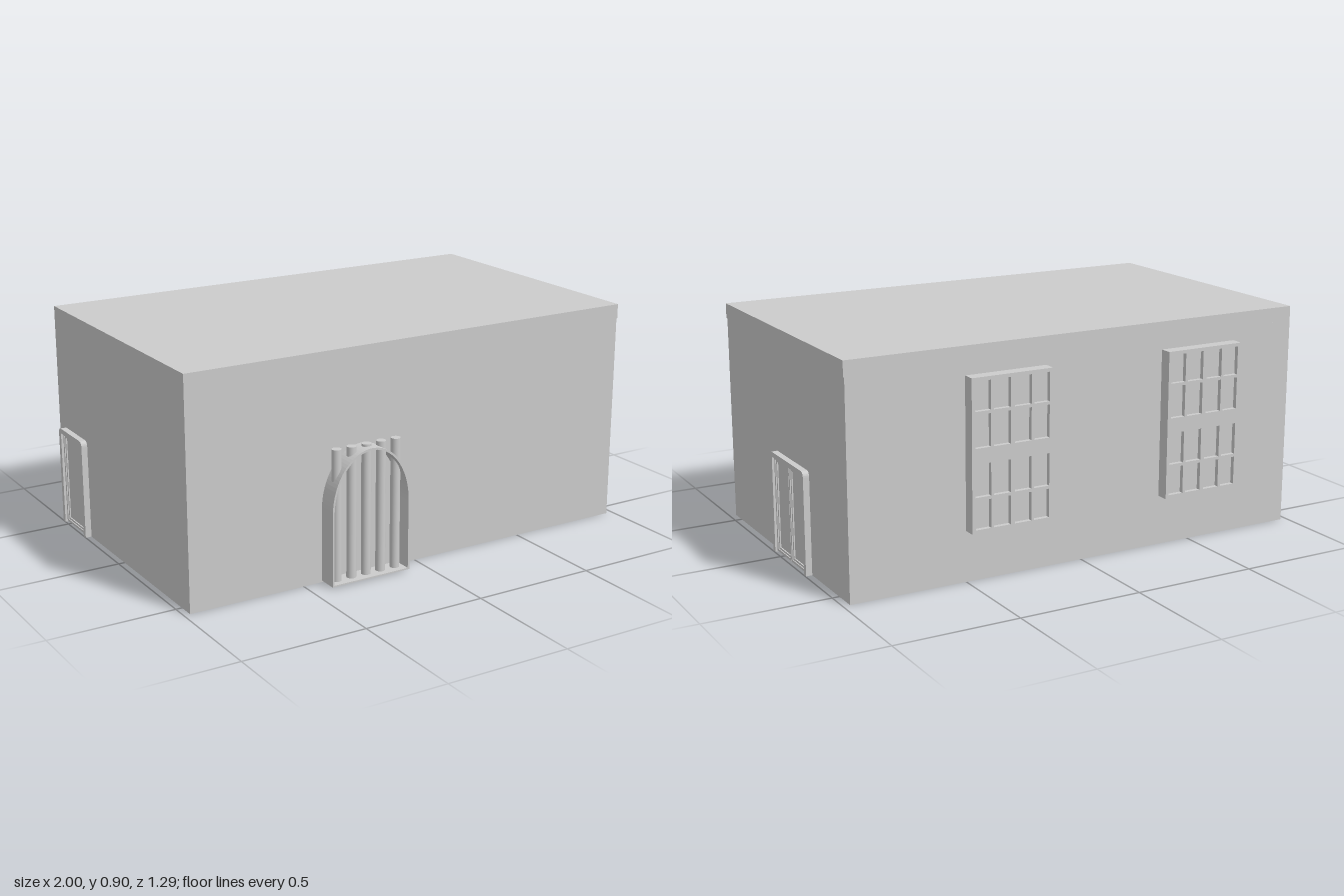
import * as THREE from 'three';

const grey = new THREE.MeshStandardMaterial({ color: 0xcccccc, side: THREE.DoubleSide });

function add(parent, name, geometry, x = 0, y = 0, z = 0) {
  const mesh = new THREE.Mesh(geometry, grey);
  mesh.name = name;
  mesh.position.set(x, y, z);
  parent.add(mesh);
  return mesh;
}

// Box given by its lower and upper corners
function box(parent, name, x0, x1, y0, y1, z0, z1) {
  return add(parent, name, new THREE.BoxGeometry(x1 - x0, y1 - y0, z1 - z0),
    (x0 + x1) / 2, (y0 + y1) / 2, (z0 + z1) / 2);
}

function rect(Type, x0, x1, y0, y1) {
  return new Type([[x0, y0], [x1, y0], [x1, y1], [x0, y1]].map(([x, y]) => new THREE.Vector2(x, y)));
}

function extrude(shape, depth, curveSegments = 6) {
  return new THREE.ExtrudeGeometry(shape, { depth, bevelEnabled: false, curveSegments });
}

// Door built facing +z with its back on z = 0
function door(name, width, height, leaves) {
  const group = new THREE.Group();
  group.name = name;
  const w = width / 2, r = 0.022, t = 0.02;

  // Surround with rounded top corners, open at the floor
  const s = new THREE.Shape();
  s.moveTo(-w, 0);
  s.lineTo(-w, height - r);
  s.quadraticCurveTo(-w, height, -w + r, height);
  s.lineTo(w - r, height);
  s.quadraticCurveTo(w, height, w, height - r);
  s.lineTo(w, 0);
  s.lineTo(w - t, 0);
  s.lineTo(w - t, height - t);
  s.lineTo(-w + t, height - t);
  s.lineTo(-w + t, 0);
  s.closePath();
  add(group, 'doorSurround', extrude(s, 0.025));

  // Leaves, each a rim, an inner moulding and a recessed panel
  const leafW = (width - 2 * t) / leaves;
  for (let i = 0; i < leaves; i++) {
    const x0 = -w + t + i * leafW + 0.002, x1 = x0 + leafW - 0.004;
    const y0 = 0.005, y1 = height - t;
    [[0, 0.009, 0.016], [0.009, 0.017, 0.012]].forEach(([a, b, depth], k) => {
      const ring = rect(THREE.Shape, x0 + a, x1 - a, y0 + a, y1 - a);
      ring.holes.push(rect(THREE.Path, x0 + b, x1 - b, y0 + b, y1 - b));
      add(group, k ? 'doorMoulding' : 'doorRim', extrude(ring, depth));
    });
    box(group, 'doorPanel', x0 + 0.015, x1 - 0.015, y0 + 0.015, y1 - 0.015, 0, 0.007);
  }
  return group;
}

// Window of two sashes, each four panes wide and two high, facing +z
function windowUnit() {
  const group = new THREE.Group();
  group.name = 'window';
  const w = 0.17, h = 0.295, depth = 0.05, rim = 0.014, rail = 0.03, bar = 0.006;
  const frame = rect(THREE.Shape, -w, w, -h, h);
  const edges = [-w + rim, -w / 2, 0, w / 2, w - rim];
  for (const side of [-1, 1]) {
    const rows = side < 0 ? [-h + rim, -(h + rail) / 2, -rail] : [rail, (h + rail) / 2, h - rim];
    for (let c = 0; c < 4; c++) {
      for (let r = 0; r < 2; r++) {
        const x0 = edges[c] + (c === 0 ? 0 : c === 2 ? 0.009 : bar);
        const x1 = edges[c + 1] - (c === 3 ? 0 : c === 1 ? 0.009 : bar);
        const y0 = rows[r] + (r ? bar : 0), y1 = rows[r + 1] - (r ? 0 : bar);
        frame.holes.push(rect(THREE.Path, x0, x1, y0, y1));
      }
    }
  }
  add(group, 'windowFrame', extrude(frame, depth));
  box(group, 'windowPanes', -w + 0.005, w - 0.005, -h + 0.005, h - 0.005, 0, depth - 0.018);
  return group;
}

// Arched hood with upright pipes rising through it
function pipeArch() {
  const group = new THREE.Group();
  group.name = 'pipeArch';
  const a = 0.172, b = 0.235, spring = 0.29, t = 0.008, base = 0.006;
  const s = new THREE.Shape();
  s.moveTo(a, base);
  s.lineTo(a, spring);
  s.absellipse(0, spring, a, b, 0, Math.PI, false, 0);
  s.lineTo(-a, base);
  s.lineTo(-a + t, base);
  s.lineTo(-a + t, spring);
  s.absellipse(0, spring, a - t, b - t, Math.PI, 0, true, 0);
  s.lineTo(a - t, base);
  s.closePath();
  add(group, 'archShell', extrude(s, 0.078, 24));
  box(group, 'archFloor', -a, a, base, base + 0.006, 0, 0.078);
  for (let i = -2; i <= 2; i++) {
    add(group, 'pipe', new THREE.CylinderGeometry(0.019, 0.019, 0.525, 20), i * 0.065, 0.2705, 0.036);
  }
  return group;
}

export function createModel() {
  const model = new THREE.Group();
  model.name = 'building';

  // Walls and the slightly proud band under the flat roof
  box(model, 'walls', -0.975, 0.972, 0, 0.84, -0.595, 0.565);
  box(model, 'roofBand', -0.975, 0.976, 0.84, 0.9, -0.595, 0.565);

  const arch = pipeArch();
  arch.position.set(-0.248, 0, 0.565);
  model.add(arch);

  const doubleDoor = door('doubleDoor', 0.33, 0.408, 2);
  doubleDoor.position.set(0.972, 0, -0.084);
  doubleDoor.rotation.y = Math.PI / 2;
  const singleDoor = door('singleDoor', 0.23, 0.405, 1);
  singleDoor.position.set(-0.975, 0, -0.435);
  singleDoor.rotation.y = -Math.PI / 2;
  model.add(doubleDoor, singleDoor);

  // Rear windows
  for (const x of [-0.527, 0.33]) {
    const unit = windowUnit();
    unit.position.set(x, 0.495, -0.595);
    unit.rotation.y = Math.PI;
    model.add(unit);
  }
  return model;
}
